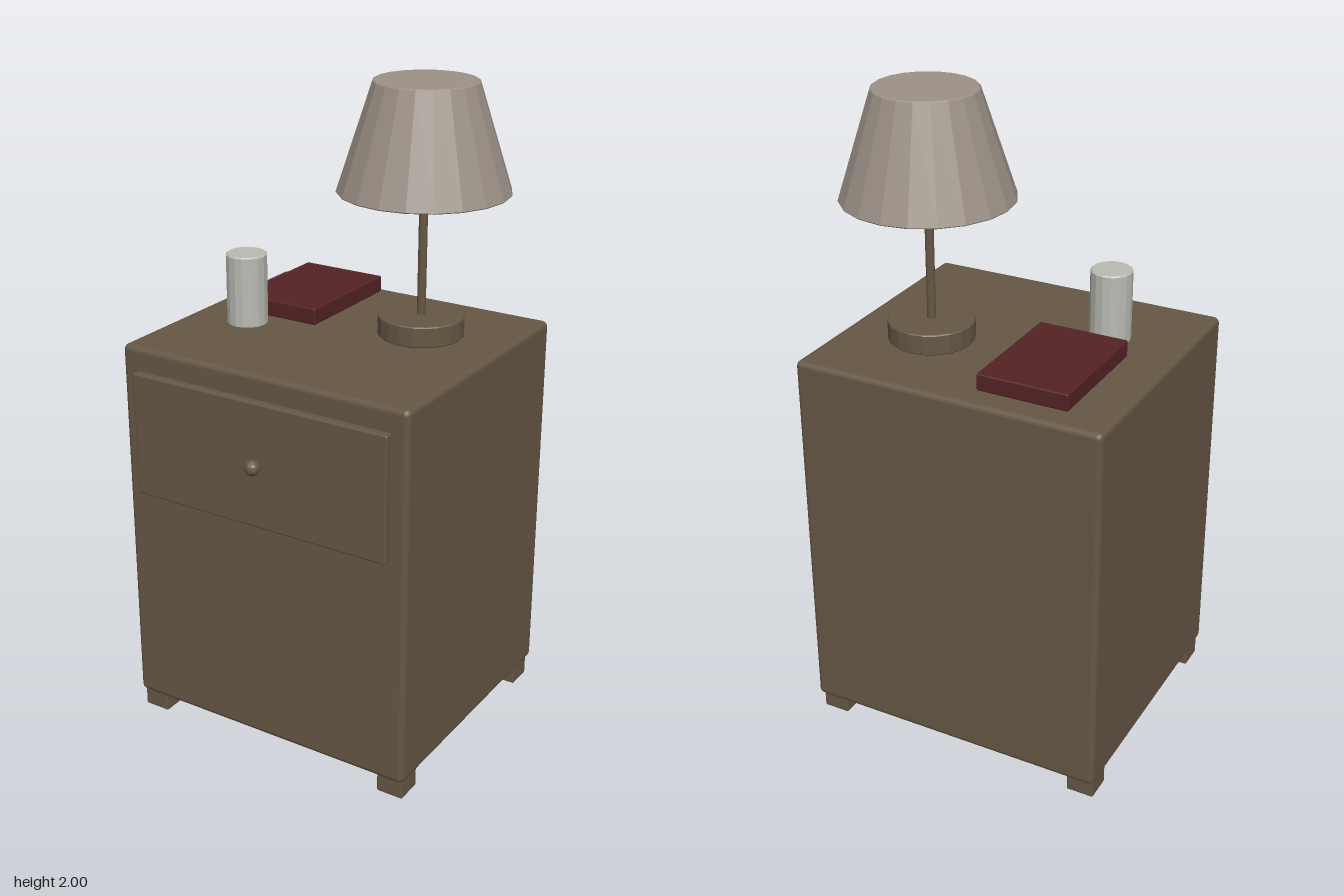
import * as THREE from 'three';
import { RoundedBoxGeometry } from 'three/addons/geometries/RoundedBoxGeometry.js';

function material(name, color) {
  const m = new THREE.MeshStandardMaterial({ color });
  m.name = name;
  return m;
}

export function createModel() {
  const group = new THREE.Group();
  const wood = material('brown wood', 0x665745);
  const linen = material('grey linen', 0x9c9187);
  const glass = material('pale glass', 0xb9bab2);
  const leather = material('dark red cover', 0x552225);

  function add(name, geometry, mat, x, y, z) {
    const mesh = new THREE.Mesh(geometry, mat);
    mesh.name = name;
    mesh.position.set(x, y, z);
    group.add(mesh);
    return mesh;
  }

  // Box given by its limits on each axis, with softened edges
  function box(name, mat, [x0, x1], [y0, y1], [z0, z1], r) {
    const geometry = new RoundedBoxGeometry(x1 - x0, y1 - y0, z1 - z0, 2, r);
    return add(name, geometry, mat, (x0 + x1) / 2, (y0 + y1) / 2, (z0 + z1) / 2);
  }

  // Faceted solid of revolution with closed ends and a small chamfer
  function turned(name, mat, rBottom, rTop, y0, y1, x, z, sides, c) {
    const slope = (rTop - rBottom) / (y1 - y0);
    const points = [
      [0, 0], [rBottom - c, 0], [rBottom + slope * c, c],
      [rTop - slope * c, y1 - y0 - c], [rTop - c, y1 - y0], [0, y1 - y0],
    ].map(([r, y]) => new THREE.Vector2(r, y));
    const geometry = new THREE.LatheGeometry(points, sides).toNonIndexed();
    geometry.computeVertexNormals();
    return add(name, geometry, mat, x, y0, z);
  }

  // Cabinet and drawer
  box('cabinet', wood, [-0.485, 0.485], [0.06, 1.243], [-0.46, 0.4], 0.018);
  box('drawerFront', wood, [-0.432, 0.432], [0.782, 1.17], [0.38, 0.424], 0.006);
  const knobShape = new THREE.SphereGeometry(0.024, 12, 8).toNonIndexed();
  knobShape.computeVertexNormals();
  add('drawerKnob', knobShape, wood, 0, 0.976, 0.436);

  // Four feet
  for (const x of [-0.434, 0.434]) {
    for (const z of [-0.395, 0.342]) {
      box('foot', wood, [x - 0.043, x + 0.043], [0, 0.08], [z - 0.043, z + 0.043], 0.005);
    }
  }

  // Table lamp
  const lampX = 0.215, lampZ = -0.14;
  turned('lampBase', wood, 0.13, 0.13, 1.246, 1.309, lampX, lampZ, 20, 0.003);
  turned('lampPole', wood, 0.013, 0.013, 1.3, 1.7, lampX, lampZ, 12, 0.001);
  turned('lampShade', linen, 0.256, 0.152, 1.68, 2, lampX, lampZ, 20, 0.003);

  // Closed book and drinking glass
  box('book', leather, [-0.357, -0.077], [1.254, 1.306], [-0.4, -0.01], 0.005);
  turned('drinkingGlass', glass, 0.062, 0.062, 1.256, 1.475, -0.262, 0.076, 16, 0.004);

  return group;
}
